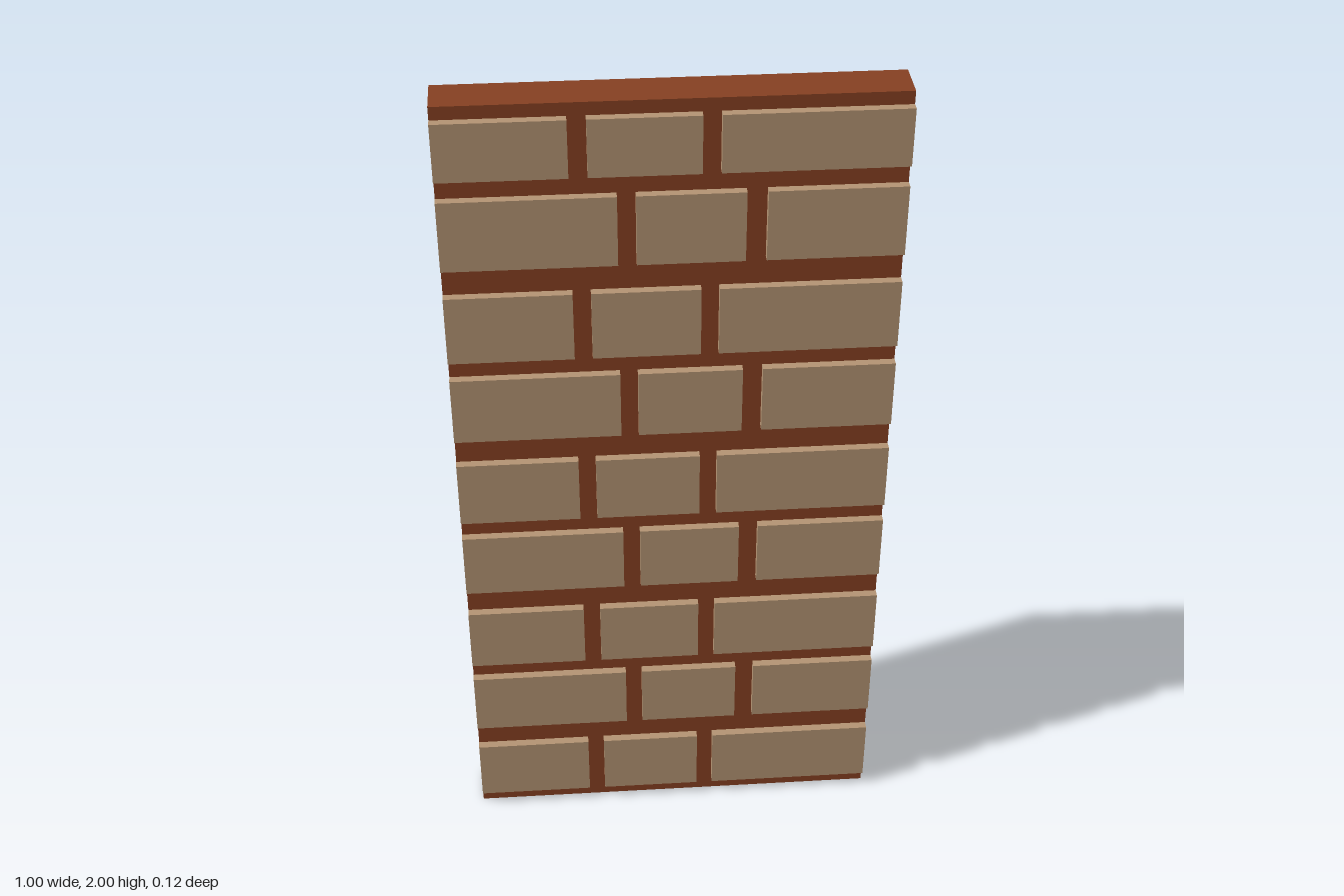
import * as THREE from 'three';

export function createModel() {
  const group = new THREE.Group();
  group.name = 'brickWallPanel';

  const mortar = new THREE.MeshStandardMaterial({ color: 0x874122 });
  mortar.name = 'reddish brown';
  const tan = new THREE.MeshStandardMaterial({ color: 0xb59574 });
  tan.name = 'tan brick';

  const addBox = (name, material, x0, x1, y0, y1, z0, z1, parent) => {
    const mesh = new THREE.Mesh(new THREE.BoxGeometry(x1 - x0, y1 - y0, z1 - z0), material);
    mesh.position.set((x0 + x1) / 2, (y0 + y1) / 2, (z0 + z1) / 2);
    mesh.name = name;
    parent.add(mesh);
  };

  // Backing slab
  addBox('backing', mortar, -0.5, 0.5, 0, 2, -0.06, 0.04, group);

  // Alternating brick layouts, as left and right edges
  const layouts = [
    [[-0.5, -0.22], [-0.18, 0.06], [0.1, 0.5]],
    [[-0.5, -0.12], [-0.08, 0.155], [0.2, 0.5]],
  ];

  // Brick courses from bottom to top; the top course is cut shorter
  for (let row = 0; row < 9; row++) {
    const course = new THREE.Group();
    course.name = 'brickCourse' + (row + 1);
    const y0 = 0.04 + Math.floor(row / 2) * 0.449 + (row % 2) * 0.235;
    const height = row === 8 ? 0.134 : 0.167;
    for (const [x0, x1] of layouts[row % 2]) {
      addBox('brick', tan, x0, x1, y0, y0 + height, 0.04, 0.06, course);
    }
    group.add(course);
  }

  return group;
}
